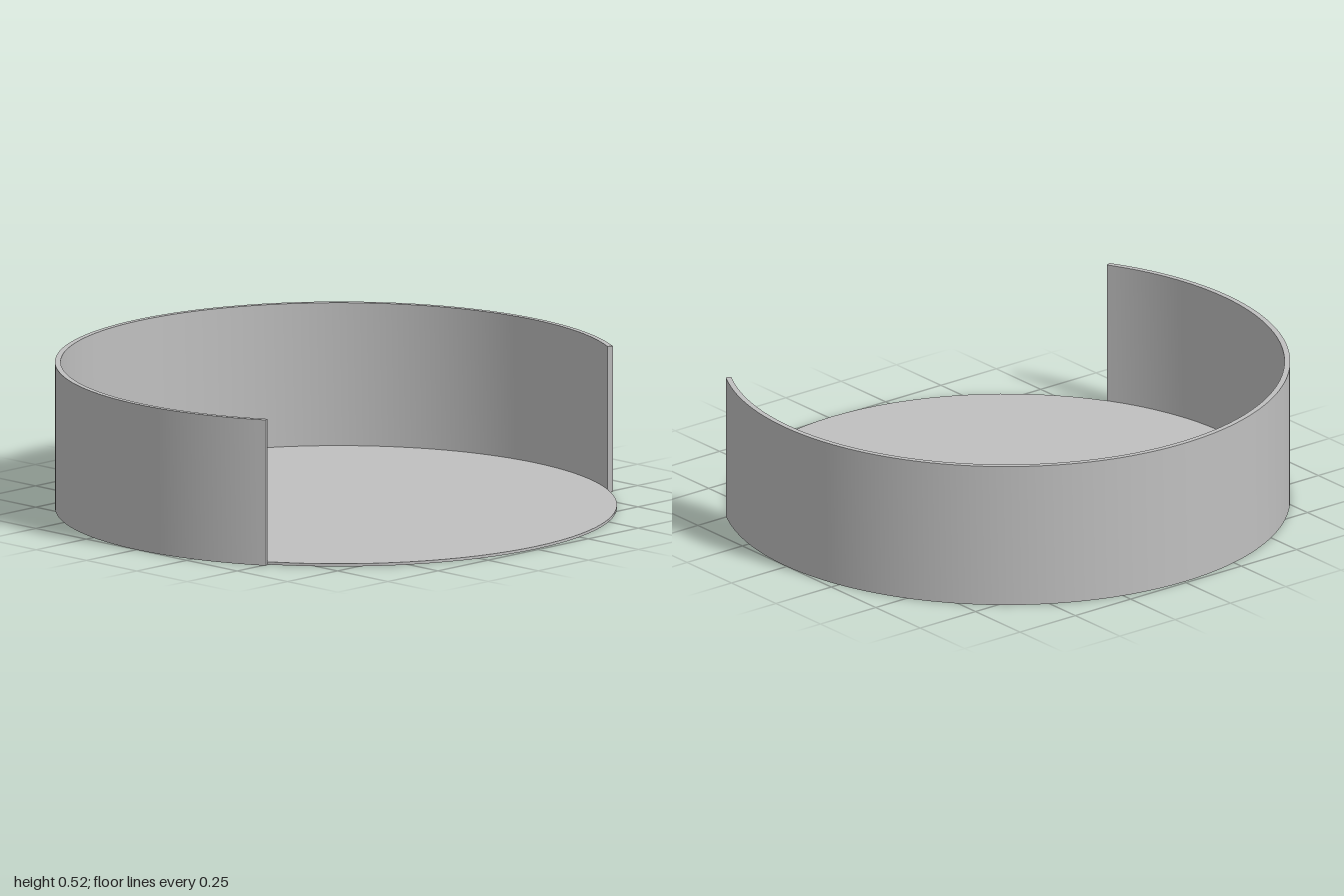
import * as THREE from 'three';
import { toCreasedNormals } from 'three/addons/utils/BufferGeometryUtils.js';

const OUTER = 1, INNER = 0.98;
const HEIGHT = 0.525, FLOOR = 0.01;
const OFFSET = 0.01; // centres the open-fronted tray in depth

export function createModel() {
  const model = new THREE.Group();
  model.name = 'openTray';
  const grey = new THREE.MeshStandardMaterial({ color: 0xc0c0c0 });
  grey.name = 'plain grey';

  // Thin round floor
  const floor = new THREE.Mesh(new THREE.CylinderGeometry(INNER, INNER, FLOOR, 96), grey);
  floor.name = 'floor';
  floor.position.set(0, FLOOR / 2, OFFSET);
  model.add(floor);

  // Curved wall: 240 degrees around the back, open at the front
  const start = -Math.PI / 6, end = Math.PI * 7 / 6;
  const profile = new THREE.Shape();
  profile.absarc(0, 0, OUTER, start, end, false);
  profile.absarc(0, 0, INNER, end, start, true);
  profile.closePath();
  const extruded = new THREE.ExtrudeGeometry(profile, {
    depth: HEIGHT, bevelEnabled: false, curveSegments: 64,
  });
  extruded.rotateX(-Math.PI / 2);
  const wall = new THREE.Mesh(toCreasedNormals(extruded, 0.5), grey);
  wall.name = 'curvedWall';
  wall.position.z = OFFSET;
  model.add(wall);

  return model;
}
